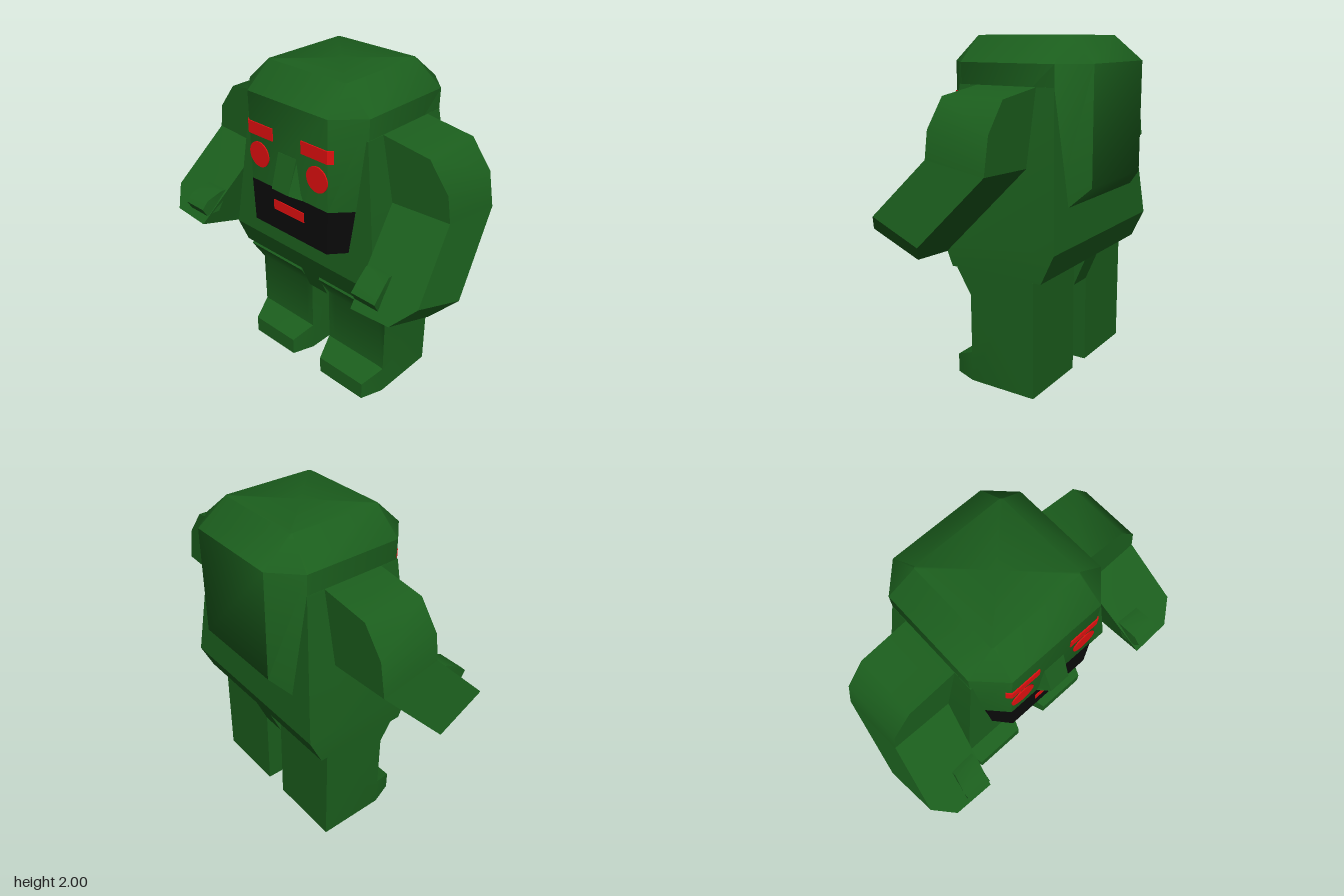
import * as THREE from 'three';
import { toCreasedNormals } from 'three/addons/utils/BufferGeometryUtils.js';

const green = new THREE.MeshStandardMaterial({ color: 0x1b5e1d });
const red = new THREE.MeshStandardMaterial({ color: 0xe01010 });
const black = new THREE.MeshStandardMaterial({ color: 0x0a0a0a });

// Skin a list of equal-length rings of [x, y, z] points and cap both ends.
function loft(rings, crease = 0.8) {
  const n = rings[0].length;
  const tris = [];
  for (let r = 0; r < rings.length - 1; r++) {
    for (let i = 0; i < n; i++) {
      const j = (i + 1) % n;
      const a = rings[r][i], b = rings[r][j], c = rings[r + 1][j], d = rings[r + 1][i];
      tris.push([a, b, c], [a, c, d]);
    }
  }
  const cap = (ring, flip) => {
    const box = new THREE.Box3().setFromPoints(ring.map((p) => new THREE.Vector3(...p)));
    const mid = box.getCenter(new THREE.Vector3()).toArray();
    ring.forEach((p, i) => {
      const q = ring[(i + 1) % n];
      tris.push(flip ? [mid, q, p] : [mid, p, q]);
    });
  };
  cap(rings[0], true);
  cap(rings[rings.length - 1], false);

  // Turn the faces outward whichever way the rings were wound
  const V = (p) => new THREE.Vector3(...p);
  const volume = tris.reduce((s, [a, b, c]) => s + V(a).dot(V(b).cross(V(c))), 0);
  const faces = volume < 0 ? tris.map(([a, b, c]) => [a, c, b]) : tris;
  const solid = faces.filter(([a, b, c]) =>
    V(b).sub(V(a)).cross(V(c).sub(V(a))).length() > 1e-8);
  const geo = new THREE.BufferGeometry();
  geo.setAttribute('position', new THREE.Float32BufferAttribute(solid.flat(2), 3));
  return toCreasedNormals(geo, crease);
}

// Horizontal rectangle ring
const rect = (y, x, zf, zb) => [[-x, y, zf], [x, y, zf], [x, y, zb], [-x, y, zb]];

// Horizontal chamfered ring for the head
const octagon = (y, x, cx, zf, czf, zb, czb) => [
  [-cx, y, zf], [cx, y, zf], [x, y, czf], [x, y, czb],
  [cx, y, zb], [-cx, y, zb], [-x, y, czb], [-x, y, czf],
];

export function createModel() {
  const model = new THREE.Group();
  const add = (name, geo, mat = green, parent = model) => {
    const mesh = new THREE.Mesh(geo, mat);
    mesh.name = name;
    parent.add(mesh);
    return mesh;
  };

  // Torso, tapering to the shoulders, and the wedge between the legs
  add('torso', loft([
    rect(0.71, 0.57, 0.22, -0.375),
    rect(0.88, 0.57, 0.29, -0.455),
    rect(1.735, 0.45, 0.23, -0.38),
  ], 0.3));
  add('crotch', loft([
    rect(0.54, 0.075, 0.145, -0.3),
    rect(0.72, 0.075, 0.22, -0.378),
  ], 0.3));

  // Head: chamfered column, bevelled crown, sloping underside at the back
  const lower = octagon(1.32, 0.44, 0.3, 0.37, 0.22, -0.53, -0.38);
  [[3, 1.04], [4, 1.2], [5, 1.2], [6, 1.04]].forEach(([i, y]) => { lower[i][1] = y; });
  const under = lower.map((p) => [p[0], p[1], Math.max(p[2], -0.38)]);
  under[4][1] = under[5][1] = 1.04;
  add('head', loft([
    under, lower,
    octagon(1.855, 0.45, 0.3, 0.37, 0.22, -0.53, -0.38),
    octagon(2, 0.29, 0.28, 0.22, 0.21, -0.355, -0.345),
  ], 0.79));

  // Beard
  const beardRing = (y, x, cx) => [[-x, y, 0.1], [-x, y, 0.22], [-cx, y, 0.372],
    [cx, y, 0.372], [x, y, 0.22], [x, y, 0.1]];
  add('beard', loft([beardRing(1.05, 0.42, 0.29), beardRing(1.32, 0.435, 0.3)]), black);

  // Nose
  add('nose', loft([
    rect(1.32, 0.11, 0.372, 0.36),
    [[-0.065, 1.36, 0.437], [0.065, 1.36, 0.437], [0.1, 1.36, 0.36], [-0.1, 1.36, 0.36]],
    rect(1.56, 0.07, 0.372, 0.36),
  ], 0.3));

  // Mouth
  const mouth = add('mouth', new THREE.BoxGeometry(0.24, 0.062, 0.02), red);
  mouth.position.set(0, 1.216, 0.367);

  for (const s of [1, -1]) {
    const side = s > 0 ? 'left' : 'right';
    const mirror = (ring) => ring.map(([x, y, z]) => [s * x, y, z]);

    // Eye and brow, the brow wrapping round the chamfer
    const eye = add(`${side}Eye`, new THREE.CylinderGeometry(0.077, 0.077, 0.02, 32), red);
    eye.rotation.x = Math.PI / 2;
    eye.position.set(s * 0.225, 1.495, 0.367);
    const brow = (y) => mirror([[0.11, y, 0.34], [0.11, y, 0.377], [0.303, y, 0.377],
      [0.328, y, 0.35], [0.315, y, 0.34]]);
    add(`${side}Brow`, loft([brow(1.61), brow(1.685)], 0.3), red);

    // Leg: side profile carried across x, toe corners chamfered
    const legProfile = (x, toeZ, toeY) => mirror([
      [x, 0, -0.3], [x, 0.69, -0.3], [x, 0.715, -0.28], [x, 0.715, 0.2], [x, 0.69, 0.22],
      [x, 0.54, 0.125], [x, 0.185, 0.125], [x, toeY, toeZ], [x, 0, toeZ],
    ]);
    add(`${side}Leg`, loft([
      legProfile(0.075, 0.125, 0.18),
      legProfile(0.125, 0.265, 0.115),
      legProfile(0.48, 0.265, 0.115),
      legProfile(0.53, 0.125, 0.18),
    ], 0.6));

    // Arm: upper arm hangs down, forearm reaches forward
    const arm = new THREE.Group();
    arm.name = `${side}Arm`;
    model.add(arm);
    const shoulder = (z) => [[0.45, 1.735, z], [0.75, 1.695, z], [0.875, 1.535, z]];
    const elbowFront = [[0.9, 1.385, 0.11], [0.53, 1.365, 0.11]];
    const elbowBack = [[0.915, 1.335, -0.27], [0.545, 1.32, -0.27]];
    add(`${side}UpperArm`, loft([
      mirror([...shoulder(0.11), ...elbowFront]),
      mirror([...shoulder(-0.27), ...elbowBack]),
    ]), green, arm);
    add(`${side}Forearm`, loft([
      mirror([elbowFront[1], elbowFront[0], [0.968, 1.06, 0.43], [0.865, 0.955, 0.53], [0.615, 0.94, 0.535]]),
      mirror([elbowBack[1], elbowBack[0], [0.995, 0.945, 0.1], [0.88, 0.835, 0.2], [0.64, 0.82, 0.2]]),
    ]), green, arm);

    // Thumb
    const thumb = (x, dx) => mirror([[x, 1.12, 0.34], [x, 1.125, 0.39], [x + dx, 1.085, 0.485],
      [x + dx, 1.04, 0.53], [x + dx, 0.985, 0.5], [x, 1.0, 0.42]]);
    add(`${side}Thumb`, loft([thumb(0.593, 0.02), thumb(0.745, 0.025)]), green, arm);
  }

  return model;
}
